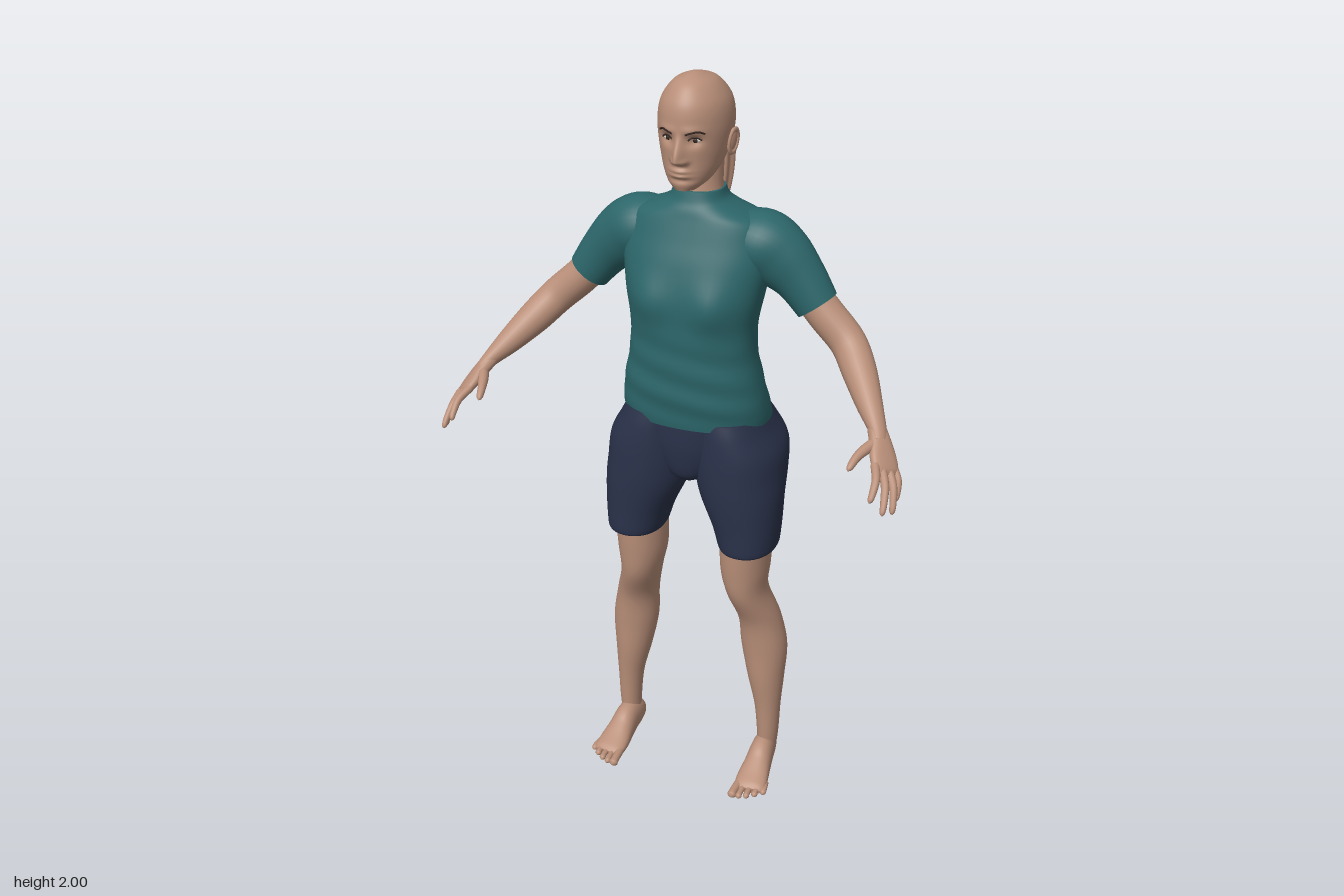
import * as THREE from 'three';

const paint = (name, color, side = THREE.FrontSide) => {
  const m = new THREE.MeshStandardMaterial({ color, side });
  m.name = name;
  return m;
};
const V = (x, y, z) => new THREE.Vector3(x, y, z);
const X = V(1, 0, 0), Z = V(0, 0, 1);
const bell = (d, w) => Math.exp(-(d * d) / (w * w));

// Smooth blend through rows of numbers
function blend(rows, t) {
  const n = rows.length - 1, i = Math.min(n - 1, Math.floor(t)), f = t - i;
  const [p, a, b, q] = [i - 1, i, i + 1, i + 2].map(k => rows[Math.max(0, Math.min(n, k))]);
  return a.map((_, k) => 0.5 * (2 * a[k] + (b[k] - p[k]) * f
    + (2 * p[k] - 5 * a[k] + 4 * b[k] - q[k]) * f * f
    + (3 * a[k] - p[k] - 3 * b[k] + q[k]) * f * f * f));
}

// Skin over oval rings [x, y, z, radius along ref, radius across]
function loft(rings, { ref = X, flat = false, segs = 32, steps = 6, power = 2, flute = 0, warp } = {}) {
  const rows = (rings.length - 1) * steps, pos = [], idx = [];
  const at = t => V(...blend(rings, Math.max(0, Math.min(rings.length - 1, t))).slice(0, 3));
  for (let i = 0; i <= rows; i++) {
    const t = i / steps, [x, y, z, a, b] = blend(rings, t);
    const T = at(t + 0.1).sub(at(t - 0.1));
    if (flat) T.set(0, Math.sign(T.y), 0);
    T.normalize();
    const u = ref.clone().addScaledVector(T, -ref.dot(T)).normalize();
    const v = T.clone().cross(u);
    for (let j = 0; j < segs; j++) {
      const ang = j / segs * Math.PI * 2, k = 1 + flute * Math.cos(ang * 8);
      const c = Math.cos(ang), s = Math.sin(ang);
      const p = V(x, y, z)
        .addScaledVector(u, a * k * Math.sign(c) * Math.abs(c) ** (2 / power))
        .addScaledVector(v, b * k * Math.sign(s) * Math.abs(s) ** (2 / power));
      if (warp) warp(p);
      pos.push(p.x, p.y, p.z);
    }
  }
  for (let i = 0; i < rows; i++) for (let j = 0; j < segs; j++) {
    const a = i * segs + j, b = i * segs + (j + 1) % segs;
    idx.push(a, b, a + segs, b, b + segs, a + segs);
  }
  // End caps with their own vertices, so rims stay crisp
  for (const row of [0, rows]) {
    const start = pos.length / 3, mid = V(0, 0, 0);
    for (let j = 0; j < segs; j++) {
      const k = (row * segs + j) * 3;
      mid.add(V(pos[k], pos[k + 1], pos[k + 2]));
      pos.push(pos[k], pos[k + 1], pos[k + 2]);
    }
    mid.divideScalar(segs);
    pos.push(mid.x, mid.y, mid.z);
    for (let j = 0; j < segs; j++) {
      const a = start + j, b = start + (j + 1) % segs;
      idx.push(start + segs, ...(row ? [a, b] : [b, a]));
    }
  }
  const g = new THREE.BufferGeometry();
  g.setAttribute('position', new THREE.Float32BufferAttribute(pos, 3));
  g.setIndex(idx);
  g.computeVertexNormals();
  return g;
}

// Rows of [y, half width, front z, back z] turned into rings
const slices = rows => rows.map(([y, w, f, b]) => [0, y, (f + b) / 2, w, (f - b) / 2]);

export function createModel() {
  const skin = paint('skin', 0xb98f79), shirt = paint('teal shirt', 0x2c666a);
  const shorts = paint('navy shorts', 0x2a324a), white = paint('eye white', 0xd8cfc8);
  const dark = paint('brow and iris', 0x33251f);
  const model = new THREE.Group();
  const add = (name, geo, mat, parent = model) => {
    const m = new THREE.Mesh(geo, mat);
    m.name = name;
    parent.add(m);
    return m;
  };

  // Shirt body with soft bust and cloth folds
  add('shirtBody', loft(slices([
    [1.11, .196, .066, -.208], [1.14, .195, .07, -.192], [1.2, .186, .076, -.168],
    [1.3, .166, .077, -.152], [1.38, .164, .077, -.155], [1.46, .178, .074, -.168],
    [1.54, .19, .055, -.182], [1.6, .185, .032, -.186], [1.645, .165, .015, -.175],
    [1.67, .11, .006, -.158], [1.69, .075, -.004, -.145], [1.715, .063, -.012, -.135]]),
  { flat: true, segs: 64, power: 2.3, warp: p => {
    const bust = bell(Math.abs(p.x) - .085, .05) * bell(p.y - 1.45, .06);
    if (p.z > -.03) p.z += .017 * bust;
    else p.z += .01 * bell(p.x, .025) * bell(p.y - 1.45, .15);
    const fold = .003 * Math.sin(p.y * 75 + p.x * 14) * bell(p.y - 1.24, .11);
    p.z += p.z > -.05 ? fold : -fold;
  } }), shirt);

  // Shorts core between the legs
  add('shortsSeat', loft(slices([[.93, .03, .01, -.1], [.96, .08, .045, -.15],
    [1.03, .14, .06, -.185], [1.09, .17, .062, -.19], [1.13, .18, .06, -.18]]),
  { flat: true, segs: 48 }), shorts);

  // Neck and head
  add('neck', loft(slices([[1.66, .07, -.005, -.145], [1.71, .059, -.017, -.131],
    [1.76, .058, -.022, -.13], [1.84, .062, -.02, -.14]]), { flat: true }), skin);
  const head = add('head', loft(slices([
    [1.737, .028, .05, -.02], [1.755, .05, .057, -.07], [1.78, .066, .058, -.11],
    [1.81, .077, .058, -.138], [1.84, .084, .06, -.155], [1.88, .089, .062, -.166],
    [1.92, .086, .06, -.163], [1.95, .075, .05, -.148], [1.98, .051, .026, -.115],
    [1.995, .022, -.005, -.07], [2, .003, -.035, -.042]]),
  { flat: true, segs: 128, steps: 9, warp: p => {
    if (p.z < 0) return;
    const ax = Math.abs(p.x);
    const bridge = THREE.MathUtils.smoothstep(1.885 - p.y, 0, .07) * THREE.MathUtils.smoothstep(p.y, 1.798, 1.814);
    p.z += .03 * bridge * bell(p.x, .008 + .007 * bridge);
    p.z += .008 * bell(ax - .015, .007) * bell(p.y - 1.811, .008);
    p.z -= .011 * bell(ax - .034, .017) * bell(p.y - 1.86, .013);
    p.z += .004 * bell(ax - .03, .025) * bell(p.y - 1.884, .01);
    p.z += bell(p.x, .022) * (.007 * bell(p.y - 1.787, .005) + .007 * bell(p.y - 1.775, .005));
    p.z -= .004 * bell(p.x, .03) * bell(p.y - 1.764, .007);
  } }), skin);

  // Facial features laid on the face
  head.updateMatrixWorld();
  const onFace = (x, y, lift = 0) => {
    const hit = new THREE.Raycaster(V(x, y, 1), V(0, 0, -1)).intersectObject(head)[0];
    return V(x, y, (hit ? hit.point.z : 0) + lift);
  };
  const line = (name, pts, r) => add(name, new THREE.TubeGeometry(
    new THREE.CatmullRomCurve3(pts.map(([x, y]) => onFace(x, y, .0005))), 16, r, 6), dark);

  for (const s of [1, -1]) {
    const side = s > 0 ? 'left' : 'right';
    const flip = rings => rings.map(([x, ...rest]) => [x * s, ...rest]);
    const at = (x, y, z) => V(x * s, y, z);

    // Eye, lash and brow
    const eye = add(side + 'Eye', new THREE.SphereGeometry(1, 20, 14), white);
    eye.scale.set(.013, .0065, .008);
    eye.position.copy(onFace(.034 * s, 1.861, -.005));
    const iris = add(side + 'Iris', new THREE.SphereGeometry(1, 16, 10), dark);
    iris.scale.set(.0058, .0058, .003);
    iris.position.copy(eye.position).add(V(0, 0, .0065));
    line(side + 'Lash', [[.02, 1.862], [.028, 1.868], [.038, 1.868], [.049, 1.862]].map(([x, y]) => [x * s, y]), .0022);
    line(side + 'Brow', [[.016, 1.877], [.03, 1.882], [.044, 1.884], [.056, 1.878]].map(([x, y]) => [x * s, y]), .0025);

    // Ear with raised rim
    const ear = new THREE.Group();
    ear.name = side + 'Ear';
    ear.position.set(.089 * s, 1.84, -.055);
    ear.rotation.set(-.15, -.3 * s, -.12 * s);
    model.add(ear);
    add('earBody', new THREE.SphereGeometry(1, 20, 14), skin, ear).scale.set(.007, .032, .017);
    const rim = add('earRim', new THREE.TorusGeometry(.016, .004, 8, 24), skin, ear);
    rim.rotation.y = Math.PI / 2;
    rim.scale.set(1, 1.75, 1);
    rim.position.x = .004 * s;

    // Sleeve and arm
    add(side + 'Sleeve', loft(flip([
      [.08, 1.595, -.085, .07, .06], [.155, 1.583, -.087, .088, .085], [.21, 1.55, -.088, .075, .083],
      [.26, 1.505, -.086, .06, .067], [.308, 1.443, -.082, .051, .056]]), { ref: Z }), shirt);
    add(side + 'Arm', loft(flip([
      [.27, 1.49, -.085, .044, .046], [.33, 1.425, -.08, .046, .047], [.395, 1.365, -.065, .043, .046],
      [.44, 1.315, -.02, .042, .043], [.485, 1.265, .04, .033, .033],
      [.522, 1.225, .088, .025, .021], [.535, 1.205, .108, .026, .018]]), { ref: Z, segs: 24 }), skin);

    // Palm, fingers and thumb
    const W = at(-.6, .3, .6).normalize();
    add(side + 'Palm', loft(flip([[.515, 1.232, .08, .022, .018], [.535, 1.205, .108, .029, .018],
      [.552, 1.178, .135, .037, .016], [.566, 1.157, .156, .036, .012], [.572, 1.148, .164, .028, .005]]),
    { ref: W, segs: 24, power: 2.4 }), skin);
    const tips = [[.555, 1.115, .25], [.585, 1.083, .243], [.6, 1.07, .207], [.598, 1.085, .167]];
    tips.forEach((tip, i) => {
      const base = at(.561, 1.163, .15).addScaledVector(W, .028 - .0187 * i), end = at(...tip);
      const r = i === 3 ? .0085 : .01;
      const ring = (f, k) => {
        const p = base.clone().lerp(end, f);
        return [p.x + .008 * s * Math.sin(f * Math.PI), p.y + .008 * Math.sin(f * Math.PI), p.z, r * k, r * k];
      };
      add(side + 'Finger' + (i + 1), loft([ring(0, 1.1), ring(.45, 1), ring(.8, .85), ring(.95, .65), ring(1, .15)],
        { ref: W, segs: 12, steps: 4 }), skin);
    });
    add(side + 'Thumb', loft(flip([[.537, 1.208, .105, .013, .015], [.516, 1.2, .14, .014, .014],
      [.5, 1.19, .178, .011, .011], [.492, 1.175, .208, .008, .008], [.49, 1.17, .217, .001, .001]]),
    { ref: X, segs: 14, steps: 4 }), skin);

    // Shorts leg
    add(side + 'ShortsLeg', loft(flip([
      [.16, .752, -.037, .076, .099], [.159, .765, -.037, .08, .103], [.152, .82, -.04, .091, .107],
      [.135, .9, -.047, .11, .118], [.125, .96, -.066, .118, .138], [.118, 1.03, -.08, .118, .15],
      [.106, 1.09, -.075, .098, .139], [.095, 1.13, -.065, .09, .12]]),
    { flat: true, segs: 48, power: 2.15 }), shorts);

    // Bare leg
    add(side + 'Leg', loft(flip([
      [.212, .03, -.08, .026, .034], [.215, .1, -.078, .03, .037], [.212, .2, -.078, .037, .043],
      [.203, .3, -.083, .052, .058], [.195, .4, -.085, .064, .065], [.182, .5, -.074, .058, .066],
      [.156, .6, -.043, .055, .076], [.15, .68, -.04, .066, .085], [.153, .78, -.039, .07, .09]]),
    { flat: true }), skin);

    // Foot, flat on the ground, and toes
    const ground = p => { p.y = Math.max(p.y, 0); };
    add(side + 'Foot', loft(flip([
      [.207, .032, -.121, .008, .01], [.207, .033, -.112, .024, .028], [.209, .04, -.08, .031, .046],
      [.212, .042, -.04, .034, .052], [.214, .03, 0, .038, .042], [.216, .02, .045, .044, .028],
      [.219, .014, .08, .044, .018], [.221, .012, .096, .036, .009]]), { warp: ground, power: 2.2 }), skin);
    [.137, .135, .127, .113, .095].forEach((z, i) => {
      const x = .186 + .0175 * i, r = i ? .0088 : .0125, out = .002 * i - .003;
      add(side + 'Toe' + (i + 1), loft(flip([
        [x, .015, .075 - .006 * i, r, r], [x + out, .014, z - .02, r * .9, r * .9],
        [x + out, .011, z - .007, r, r * .95], [x + out, .009, z, r * .2, r * .2]]),
      { segs: 14, steps: 4, warp: ground }), skin);
    });
  }

  // Ponytail with fluted strands
  add('ponytail', loft([
    [0, 1.922, -.135, .016, .014], [0, 1.928, -.165, .018, .016], [0, 1.885, -.193, .026, .023],
    [0, 1.8, -.208, .037, .037], [0, 1.72, -.211, .035, .036], [0, 1.65, -.207, .024, .025],
    [0, 1.585, -.203, .004, .006]], { segs: 64, flute: .09 }), skin);
  return model;
}
